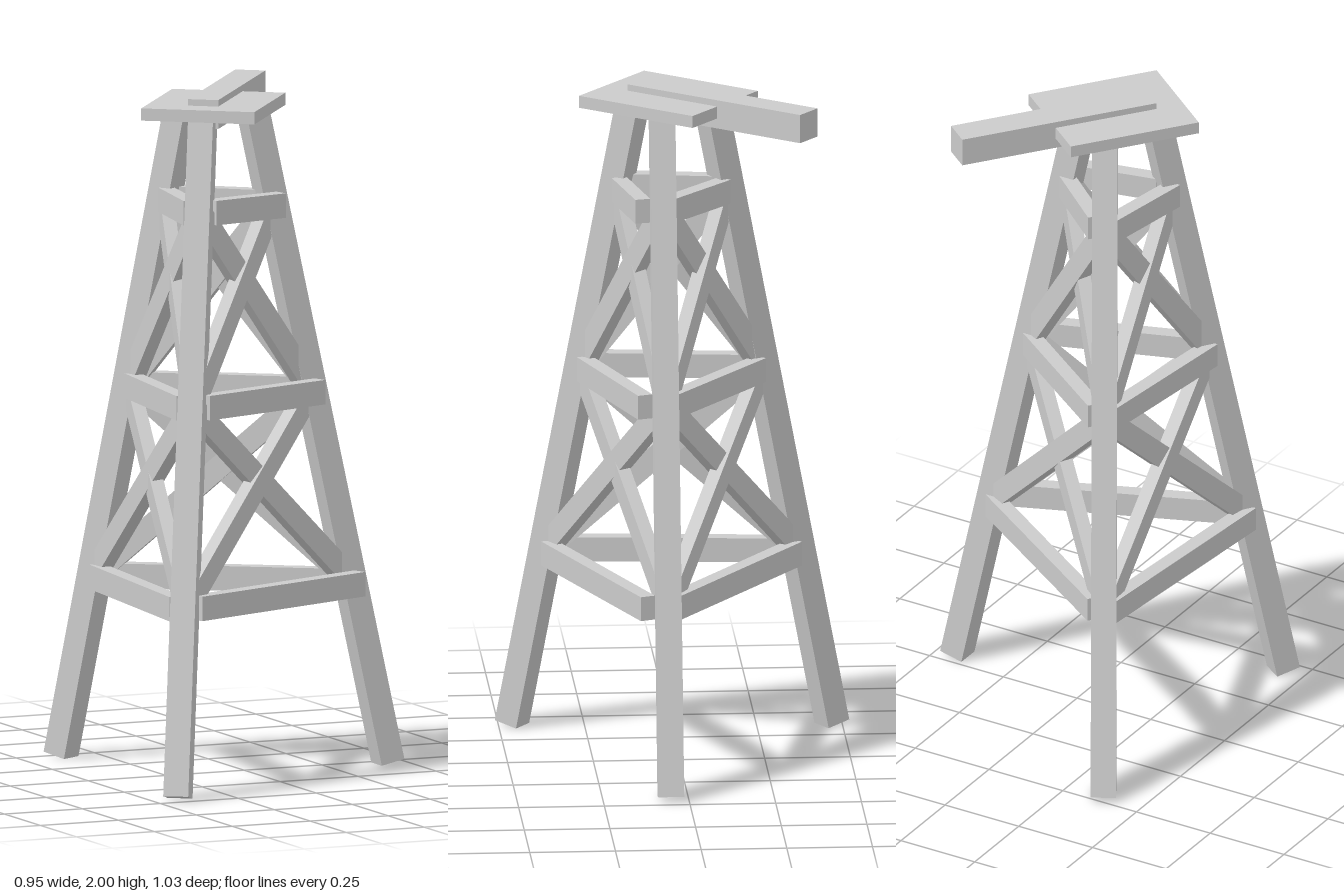
import * as THREE from 'three';

const mat = new THREE.MeshStandardMaterial({ color: 0xcccccc, flatShading: true });

// Leg axes: foot and head centres
const legs = {
  A: [new THREE.Vector3(0.437, 0.008, 0.052), new THREE.Vector3(0.005, 1.95, 0.05)],
  B: [new THREE.Vector3(-0.37, 0.008, -0.47), new THREE.Vector3(-0.155, 1.95, -0.1)],
  C: [new THREE.Vector3(-0.425, 0.008, 0.46), new THREE.Vector3(-0.188, 1.95, 0.12)],
};

// Point on a leg axis at height y, with a sideways offset
function onLeg(key, y, [dx, dz] = [0, 0]) {
  const [foot, head] = legs[key];
  const p = foot.clone().lerp(head, (y - foot.y) / (head.y - foot.y));
  return p.add(new THREE.Vector3(dx, 0, dz));
}

// Square-cut timber from a to b; its thickness lies in the horizontal direction
function timber(name, a, b, thickness, depth) {
  const dir = b.clone().sub(a);
  const length = dir.length();
  dir.normalize();
  const side = dir.clone().cross(new THREE.Vector3(0, 1, 0)).normalize();
  const across = side.clone().cross(dir);
  const mesh = new THREE.Mesh(new THREE.BoxGeometry(thickness, depth, length), mat);
  // columns: x = side, y = across, z = dir (right-handed)
  mesh.quaternion.setFromRotationMatrix(new THREE.Matrix4().makeBasis(side, across, dir.clone()));
  if (new THREE.Matrix4().makeBasis(side, across, dir).determinant() < 0) {
    mesh.quaternion.setFromRotationMatrix(
      new THREE.Matrix4().makeBasis(side.clone().negate(), across, dir));
  }
  mesh.position.copy(a).add(b).multiplyScalar(0.5);
  mesh.name = name;
  return mesh;
}

export function createModel() {
  const model = new THREE.Group();
  model.name = 'timberTower';

  // Three splayed legs
  for (const key of Object.keys(legs)) {
    model.add(timber('leg' + key, ...legs[key], 0.074, 0.074));
  }

  // Each face: two legs and the small offsets of the girt ends from their axes
  const faces = [
    ['A', 'C', [0.002, 0.06], [0.042, -0.005]],
    ['A', 'B', [-0.013, -0.02], [0.038, 0.01]],
    ['B', 'C', [-0.005, 0.01], [-0.018, -0.018]],
  ];
  const levels = [0.545, 1.118, 1.675];

  for (const [p, q, offP, offQ] of faces) {
    const face = new THREE.Group();
    face.name = 'bracedFace' + p + q;
    // Horizontal girts
    for (const y of levels) {
      face.add(timber('girt', onLeg(p, y, offP), onLeg(q, y, offQ), 0.045, 0.072));
    }
    // Crossed diagonal braces between girts
    for (let i = 0; i < 2; i++) {
      const lo = levels[i], hi = levels[i + 1];
      face.add(timber('brace', onLeg(p, lo), onLeg(q, hi), 0.04, 0.065));
      face.add(timber('brace', onLeg(q, lo), onLeg(p, hi), 0.04, 0.065));
    }
    model.add(face);
  }

  // Deck and overhanging beam, turned together
  const slab = (name, w, h, d, x, y, z) => {
    const mesh = new THREE.Mesh(new THREE.BoxGeometry(w, h, d), mat);
    mesh.name = name;
    mesh.position.set(x, y, z);
    mesh.rotation.y = 0.91;
    model.add(mesh);
  };
  slab('deck', 0.4, 0.036, 0.338, -0.11, 1.963, 0.024);
  slab('overhangBeam', 0.607, 0.085, 0.09, 0.003, 1.9575, -0.127);

  return model;
}
